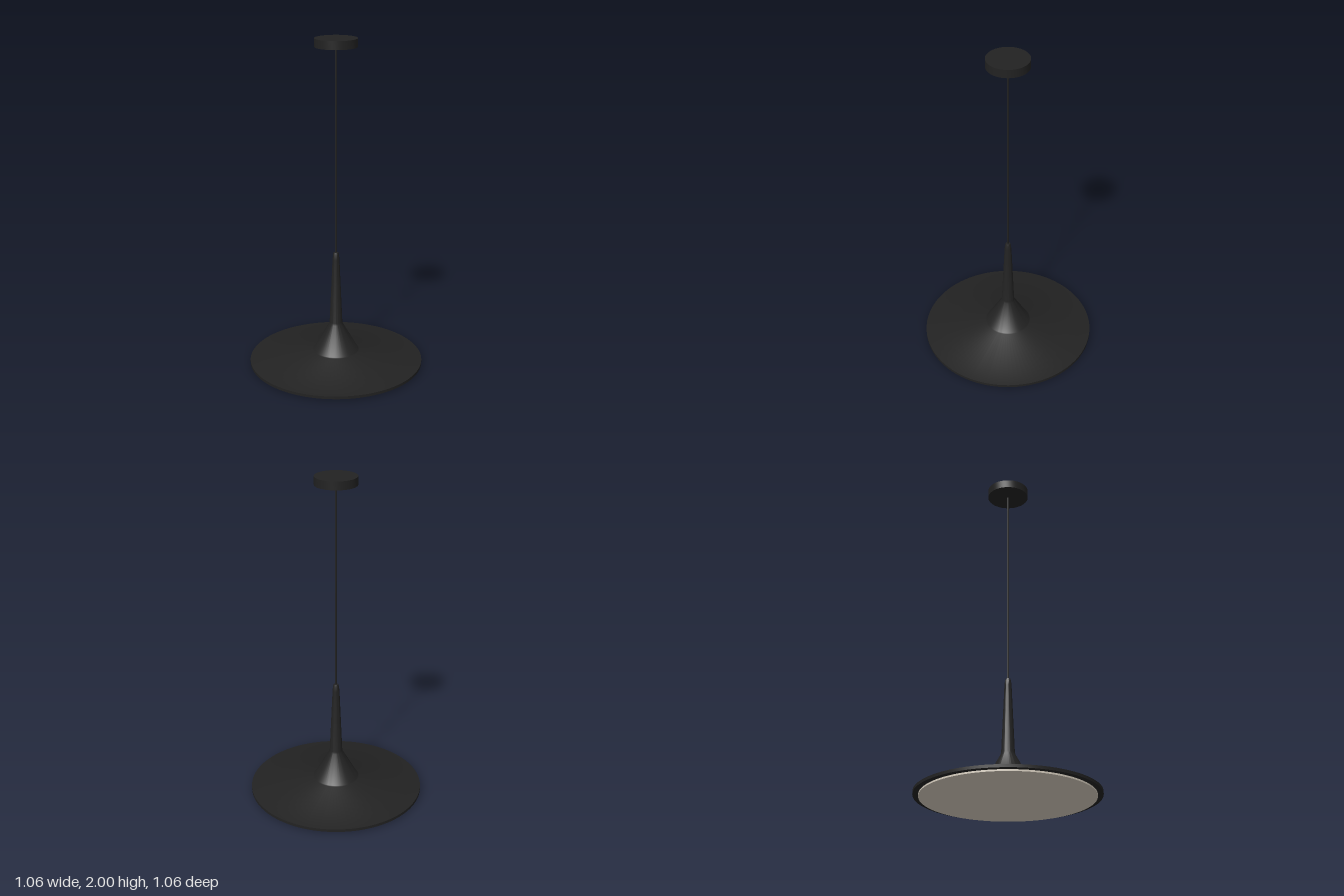
import * as THREE from 'three';
import { toCreasedNormals } from 'three/addons/utils/BufferGeometryUtils.js';

const black = new THREE.MeshStandardMaterial({ color: 0x222222 });
const cream = new THREE.MeshStandardMaterial({ color: 0xd8cfc0 });

// Revolve an [radius, height] profile, listed from bottom to top, keeping hard edges sharp
function turned(name, profile, material, segments = 96) {
  const points = profile.map(([r, y]) => new THREE.Vector2(r, y));
  const geometry = toCreasedNormals(new THREE.LatheGeometry(points, segments), 0.6);
  const mesh = new THREE.Mesh(geometry, material);
  mesh.name = name;
  return mesh;
}

export function createModel() {
  const lamp = new THREE.Group();
  lamp.name = 'pendantLamp';

  // Wide shallow shade flaring out of a slim tapered neck
  lamp.add(turned('shade', [
    [0, 0.01], [0.528, 0.01], [0.528, 0.027],
    [0.143, 0.08], [0.137, 0.084],
    [0.043, 0.25], [0.039, 0.265],
    [0.021, 0.67], [0.018, 0.7], [0.014, 0.713], [0, 0.716],
  ], black));

  // Flat light diffuser, standing slightly proud of the underside
  lamp.add(turned('diffuser', [[0, 0], [0.496, 0], [0.496, 0.011]], cream));

  // Suspension cord
  const cord = new THREE.Mesh(new THREE.CylinderGeometry(0.005, 0.005, 1.26, 16), black);
  cord.name = 'cord';
  cord.position.y = 1.335;
  lamp.add(cord);

  // Ceiling canopy
  lamp.add(turned('ceilingCanopy', [[0, 1.95], [0.124, 1.95], [0.124, 2], [0, 2]], black, 64));

  return lamp;
}
